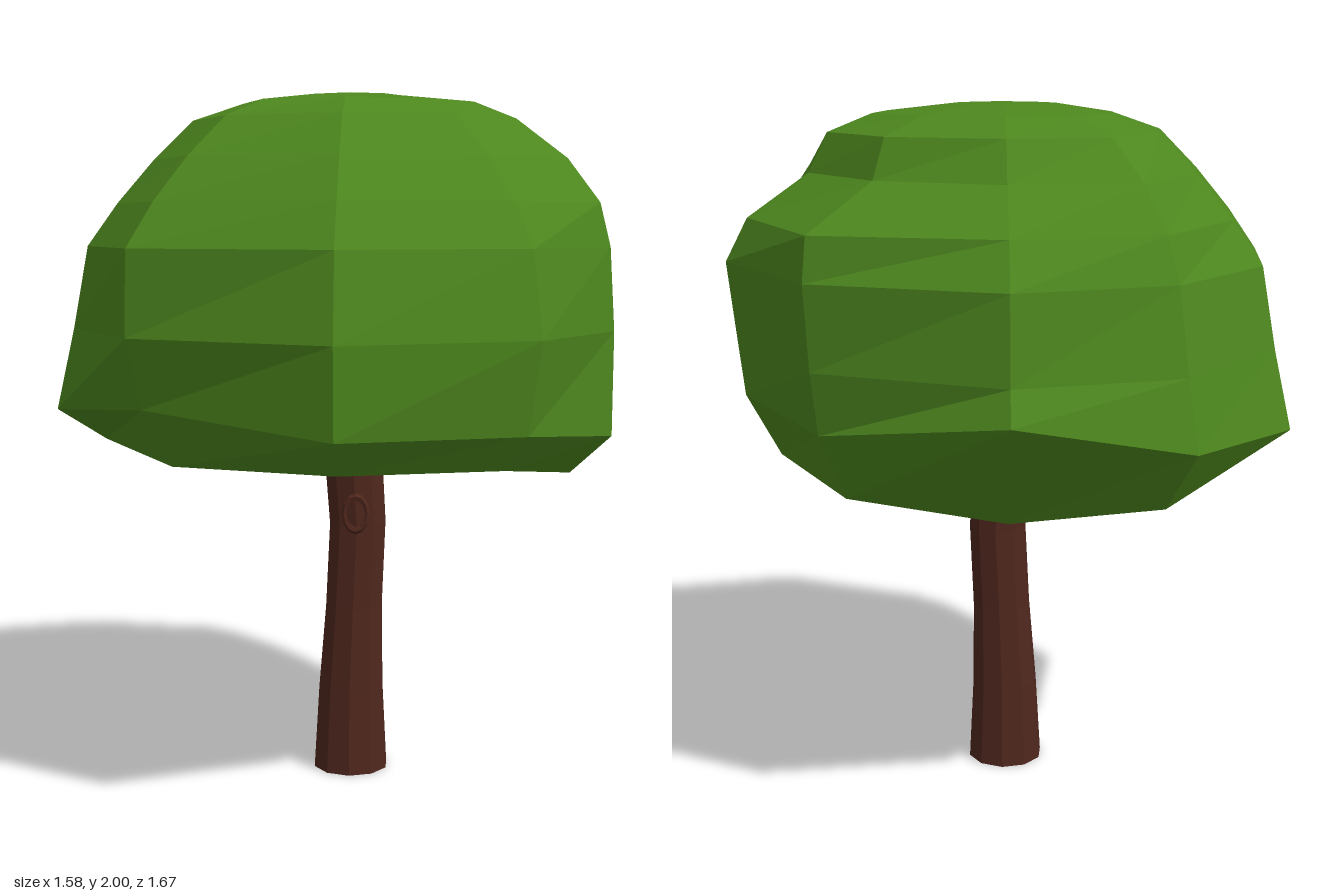
import * as THREE from 'three';

// Joins equal-length rings of points (listed top to bottom) into a closed faceted skin.
function loft(rings, top, bottom) {
  const pos = [];
  const tri = (a, b, c) => pos.push(...a, ...b, ...c);
  const n = rings[0].length;
  for (let j = 0; j < n; j++) {
    const k = (j + 1) % n;
    tri(top, rings[0][k], rings[0][j]);
    for (let i = 0; i < rings.length - 1; i++) {
      const a = rings[i], b = rings[i + 1];
      tri(b[k], b[j], a[j]);
      tri(b[k], a[j], a[k]);
    }
    const last = rings[rings.length - 1];
    tri(bottom, last[j], last[k]);
  }
  const geometry = new THREE.BufferGeometry();
  geometry.setAttribute('position', new THREE.Float32BufferAttribute(pos, 3));
  geometry.computeVertexNormals();
  return geometry;
}

export function createModel() {
  const leaf = new THREE.MeshStandardMaterial({ color: 0x4d871e, flatShading: true });
  leaf.name = 'leaf green';
  const bark = new THREE.MeshStandardMaterial({ color: 0x4f271d, flatShading: true });
  bark.name = 'bark brown';

  const tree = new THREE.Group();
  tree.name = 'tree';
  const add = (name, geometry, material) => {
    const mesh = new THREE.Mesh(geometry, material);
    mesh.name = name;
    tree.add(mesh);
    return mesh;
  };

  // Canopy columns, starting at the back. Outline corner, rim and lip as [scale, height],
  // and the scale of the outline at each dome height.
  const domeHeights = [1.995, 1.97, 1.92, 1.81, 1.69, 1.57, 1.34];
  const columns = [
    { x: -0.05, z: -0.84, rim: [1, 1.25], lip: [0.72, 0.94], dome: [0.18, 0.38, 0.56, 0.65, 0.83, 0.92, 0.95] },
    { x: 0.49, z: -0.65, rim: [0.95, 1.17], lip: [0.83, 0.98], dome: [0.18, 0.42, 0.61, 0.67, 0.98, 1, 0.98] },
    { x: 0.79, z: -0.24, rim: [0.95, 1.19], lip: [0.83, 1.01], dome: [0.18, 0.47, 0.63, 0.7, 0.92, 1, 0.97] },
    { x: 0.77, z: 0.27, rim: [1, 1.05], lip: [0.85, 0.94], dome: [0.18, 0.47, 0.63, 0.82, 0.94, 0.98, 1] },
    { x: 0.55, z: 0.63, rim: [0.94, 1.09], lip: [0.83, 0.99], dome: [0.18, 0.4, 0.57, 0.73, 0.86, 0.95, 1] },
    { x: 0.03, z: 0.83, rim: [0.98, 1.1], lip: [0.84, 1], dome: [0.18, 0.4, 0.57, 0.72, 0.84, 0.94, 1] },
    { x: -0.52, z: 0.61, rim: [0.94, 1.15], lip: [0.82, 0.99], dome: [0.18, 0.42, 0.58, 0.74, 0.88, 0.99, 1] },
    { x: -0.79, z: 0.23, rim: [1, 1.11], lip: [0.84, 1.02], dome: [0.18, 0.37, 0.54, 0.67, 0.79, 0.89, 0.94] },
    { x: -0.78, z: -0.25, rim: [1, 1.12], lip: [0.84, 1.02], dome: [0.18, 0.37, 0.54, 0.67, 0.79, 0.89, 0.94] },
    { x: -0.51, z: -0.67, rim: [1, 1.15], lip: [0.86, 0.98], dome: [0.18, 0.42, 0.58, 0.73, 0.84, 0.9, 0.95] },
  ];
  const ring = (level) => columns.map((column) => {
    const [s, y] = level(column);
    return [column.x * s + 0.04 * (1 - s), y, column.z * s];
  });
  const rings = [
    ...domeHeights.map((y, i) => ring((column) => [column.dome[i], y])),
    ring((column) => column.rim),
    ring((column) => column.lip),
    // Hollow underside
    ring(() => [0.6, 1.04]),
    ring(() => [0.32, 1.065]),
  ];
  add('canopy', loft(rings, [0.04, 2, 0], [0.04, 1.075, 0]), leaf);

  // Gently bent trunk: height, centre x, centre z, radius
  const sections = [
    [1.12, 0.03, 0.015, 0.087], [1.0, 0.04, 0.012, 0.089], [0.75, 0.056, 0.01, 0.086],
    [0.5, 0.045, 0.01, 0.087], [0.25, 0.036, 0.011, 0.099], [0, 0.035, 0.012, 0.113],
  ];
  const trunkRings = sections.map(([y, cx, cz, r]) => Array.from({ length: 10 }, (_, j) => {
    const a = (j / 10) * Math.PI * 2;
    return [cx + Math.sin(a) * r, y, cz - Math.cos(a) * r];
  }));
  add('trunk', loft(trunkRings, [0.03, 1.12, 0.015], [0.035, 0, 0.012]), bark);

  // Knot on the front of the trunk
  const knot = add('knot', new THREE.TorusGeometry(0.033, 0.008, 5, 12), bark);
  knot.scale.y = 1.5;
  knot.position.set(0.053, 0.79, 0.096);

  return tree;
}
